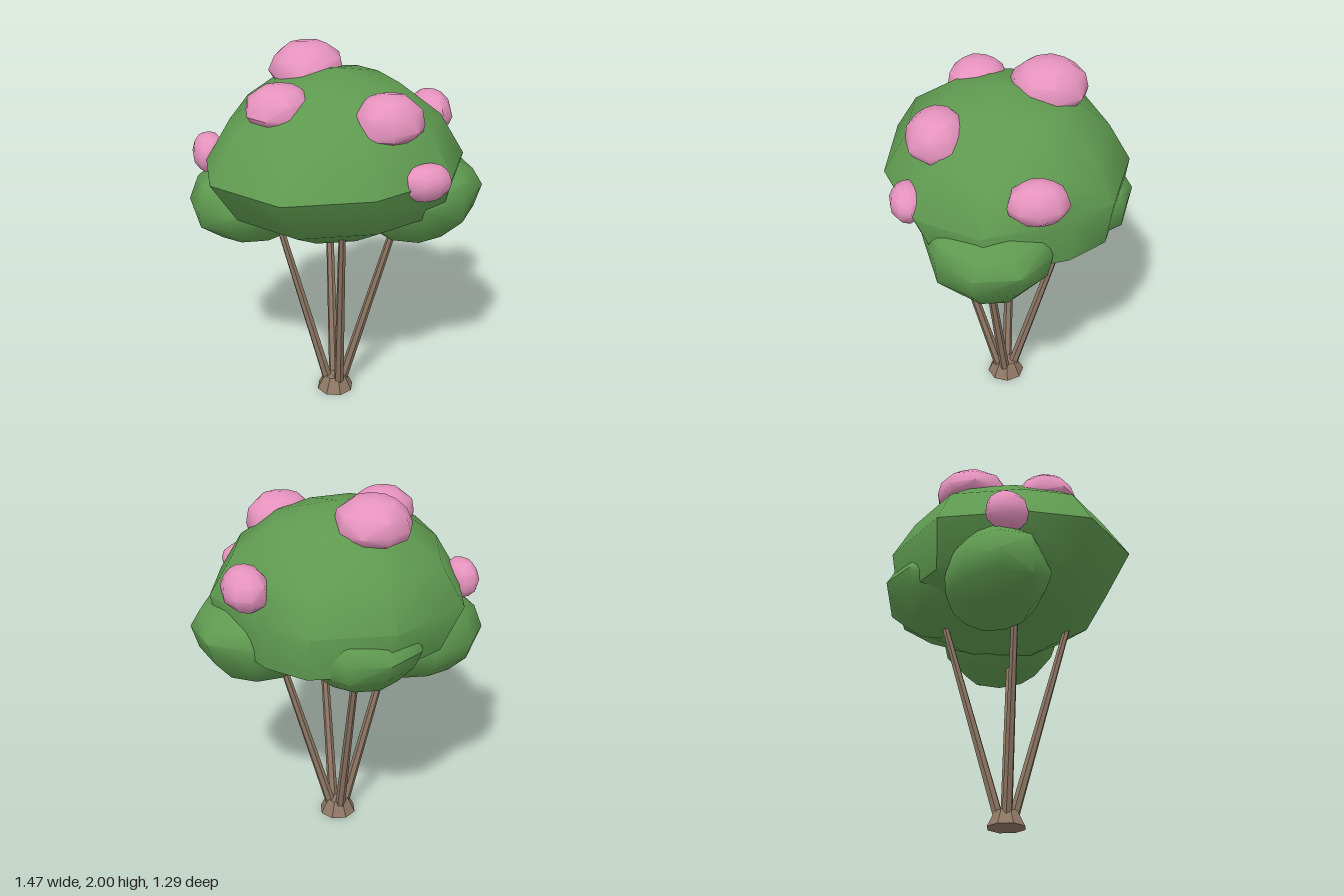
import * as THREE from 'three';
import { toCreasedNormals } from 'three/addons/utils/BufferGeometryUtils.js';
import { ConvexGeometry } from 'three/addons/geometries/ConvexGeometry.js';

const CREASE = 0.8;

function material(name, color) {
  const m = new THREE.MeshStandardMaterial({ color });
  m.name = name;
  return m;
}

// Hull around a cloud of points, smooth except at strong edges
function hull(points) {
  return toCreasedNormals(new ConvexGeometry(points), CREASE);
}

// Irregular lump: centre at its widest level, side radii, height above and depth below
function lump([cx, cy, cz], [rx, rz], [up, down], seed) {
  const points = [];
  const sides = 9;
  for (const lat of [-90, -57, -25, 0, 30, 60, 90]) {
    const a = THREE.MathUtils.degToRad(lat);
    const ringRadius = Math.pow(Math.cos(a), 0.87);
    const y = cy + Math.sin(a) * (lat > 0 ? up : down);
    const count = Math.abs(lat) === 90 ? 1 : sides;
    for (let i = 0; i < count; i++) {
      const t = (i / sides) * Math.PI * 2 + seed;
      const r = ringRadius * (1.01 + 0.03 * Math.sin(seed * 7 + i * 2.3 + lat * 0.11));
      points.push(new THREE.Vector3(cx + r * rx * Math.cos(t), y, cz + r * rz * Math.sin(t)));
    }
  }
  return hull(points);
}

// Main crown: one outline scaled and shifted through horizontal rings
function crownGeometry() {
  const outline = [
    [0, 0.645], [-0.45, 0.57], [-0.715, 0.23], [-0.665, -0.1], [-0.45, -0.515],
    [0, -0.63], [0.4, -0.48], [0.55, -0.25], [0.635, 0.2], [0.45, 0.5],
  ];
  // height, scale, x shift, z shift
  const rings = [
    [1.07, 0.45, 0.02, 0], [1.22, 0.87, 0.05, -0.03], [1.455, 1, 0, 0],
    [1.67, 0.81, 0, 0], [1.835, 0.49, 0, 0],
  ];
  const points = [new THREE.Vector3(0, 1.01, 0), new THREE.Vector3(0, 1.92, 0.02)];
  for (const [y, s, dx, dz] of rings) {
    for (const [x, z] of outline) points.push(new THREE.Vector3(x * s + dx, y, z * s + dz));
  }
  return hull(points);
}

// Thin tapered stem between two points
function stemGeometry(from, to) {
  const a = new THREE.Vector3(...from);
  const b = new THREE.Vector3(...to);
  const dir = b.clone().sub(a);
  const g = new THREE.CylinderGeometry(0.018, 0.028, dir.length(), 6);
  g.applyQuaternion(new THREE.Quaternion().setFromUnitVectors(new THREE.Vector3(0, 1, 0), dir.normalize()));
  const mid = a.add(b).multiplyScalar(0.5);
  return g.translate(mid.x, mid.y, mid.z);
}

export function createModel() {
  const model = new THREE.Group();
  model.name = 'floweringTree';
  const leaf = material('leafGreen', 0x5f9a50);
  const pink = material('blossomPink', 0xe693be);
  const bark = material('barkBrown', 0x8f7865);
  bark.flatShading = true;

  const add = (name, geometry, mat) => {
    const mesh = new THREE.Mesh(geometry, mat);
    mesh.name = name;
    model.add(mesh);
  };

  // Flared root base
  add('rootBase', new THREE.CylinderGeometry(0.062, 0.104, 0.085, 8).translate(-0.01, 0.0425, 0.02), bark);

  // Four stems spreading into the foliage
  const stems = [
    [[-0.05, 0.05, 0.01], [-0.335, 1.18, -0.045]],
    [[0.03, 0.05, 0.03], [0.315, 1.18, 0.165]],
    [[0.0, 0.05, 0.06], [-0.08, 1.2, 0.37]],
    [[-0.005, 0.05, -0.02], [0.06, 1.2, -0.335]],
  ];
  stems.forEach(([from, to], i) => add(`stem${i + 1}`, stemGeometry(from, to), bark));

  // Foliage
  add('crown', crownGeometry(), leaf);
  add('leftFoliage', lump([0.39, 1.28, 0.13], [0.355, 0.335], [0.18, 0.3], 0.35), leaf);
  add('rightFoliage', lump([-0.405, 1.17, -0.18], [0.345, 0.265], [0.26, 0.225], 2.1), leaf);
  add('backFoliage', lump([0.04, 1.3, -0.36], [0.32, 0.275], [0.17, 0.23], 4.71), leaf);

  // Blossom clusters: centre, side radii, height above and depth below
  const blossoms = [
    [[-0.09, 1.85, -0.205], [0.197, 0.205], [0.15, 0.1]],
    [[-0.33, 1.765, 0.13], [0.175, 0.165], [0.135, 0.07]],
    [[0.155, 1.72, 0.365], [0.185, 0.163], [0.16, 0.085]],
    [[0.3, 1.475, 0.53], [0.13, 0.09], [0.085, 0.105]],
    [[0.555, 1.585, -0.085], [0.115, 0.153], [0.125, 0.1]],
    [[-0.63, 1.45, -0.2], [0.088, 0.115], [0.11, 0.1]],
  ];
  blossoms.forEach(([c, r, h], i) => add(`blossom${i + 1}`, lump(c, r, h, 0.6 + i * 0.9), pink));

  return model;
}
